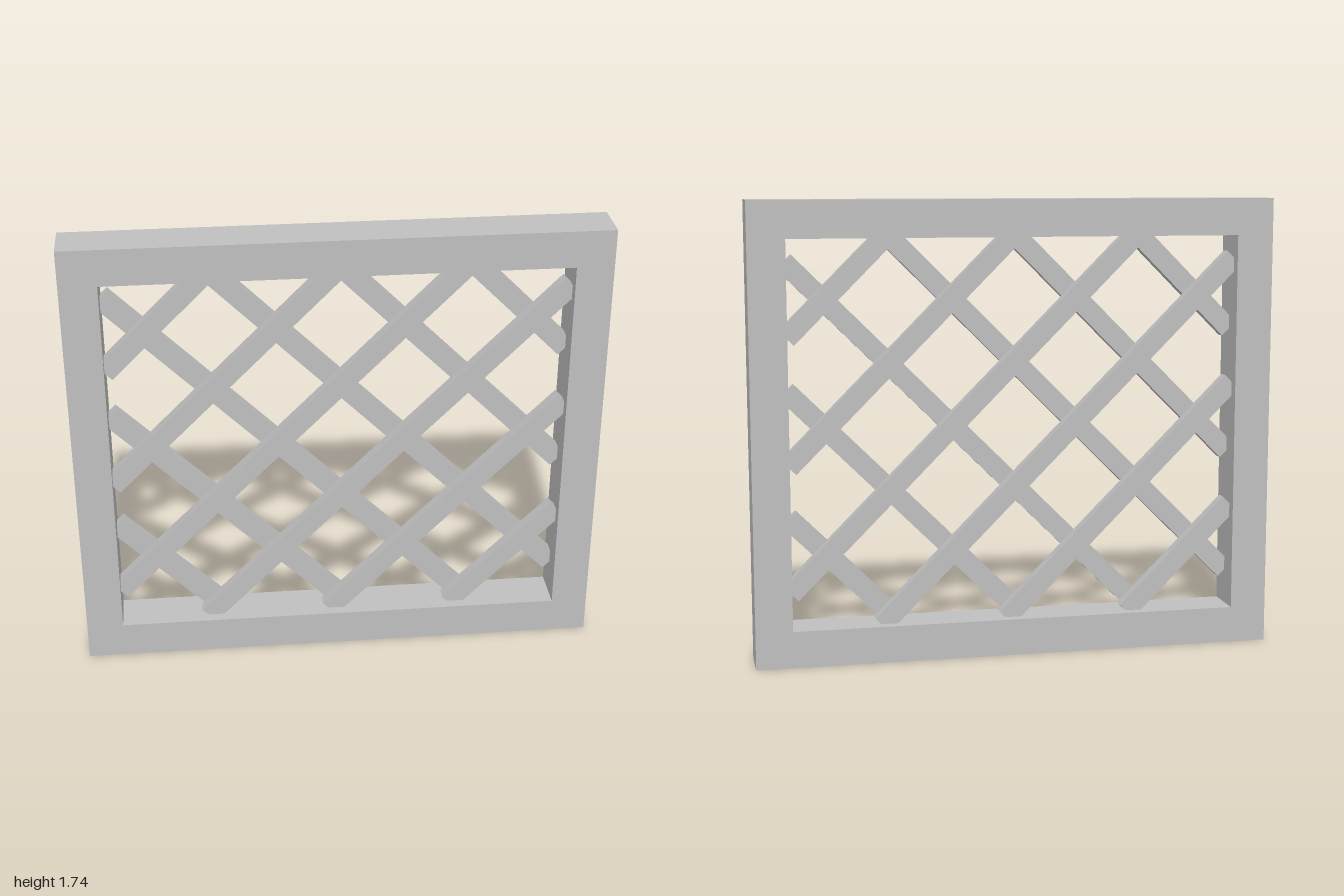
import * as THREE from 'three';

const W = 2, H = 1.74, D = 0.174, BORDER = 0.14;
const SLAT_WIDTH = 0.076, SLAT_DEPTH = 0.046;
const SLATS = 6, FIRST = -0.31, STEP = 0.481;

export function createModel() {
  const model = new THREE.Group();
  model.name = 'latticePanel';
  const grey = new THREE.MeshStandardMaterial({ color: 0xbfbfbf });
  grey.name = 'plain grey';

  // Rectangular frame with a through opening
  const outline = new THREE.Shape([
    new THREE.Vector2(-W / 2, 0), new THREE.Vector2(W / 2, 0),
    new THREE.Vector2(W / 2, H), new THREE.Vector2(-W / 2, H),
  ]);
  const ix = W / 2 - BORDER;
  outline.holes.push(new THREE.Path([
    new THREE.Vector2(-ix, BORDER), new THREE.Vector2(-ix, H - BORDER),
    new THREE.Vector2(ix, H - BORDER), new THREE.Vector2(ix, BORDER),
  ]));
  const frameGeometry = new THREE.ExtrudeGeometry(outline, { depth: D, bevelEnabled: false });
  frameGeometry.translate(0, 0, -D / 2);
  const frame = new THREE.Mesh(frameGeometry, grey);
  frame.name = 'frame';
  model.add(frame);

  // Two layers of 45 degree slats, each centred on the line y = side * x + c
  for (const side of [1, -1]) {
    const layer = new THREE.Group();
    layer.name = side > 0 ? 'frontSlats' : 'backSlats';
    for (let i = 0; i < SLATS; i++) {
      const c = FIRST + i * STEP;
      // Ends where the line meets the opening
      const x0 = Math.max(-ix, BORDER - 0.005 - c);
      const x1 = Math.min(ix, H - BORDER + 0.005 - c);
      const slat = new THREE.Mesh(
        new THREE.BoxGeometry((x1 - x0) * Math.SQRT2, SLAT_WIDTH, SLAT_DEPTH), grey);
      const mid = (x0 + x1) / 2;
      slat.position.set(side * mid, mid + c, side * SLAT_DEPTH / 2);
      slat.rotation.z = side * Math.PI / 4;
      slat.name = 'slat';
      layer.add(slat);
    }
    model.add(layer);
  }
  return model;
}
